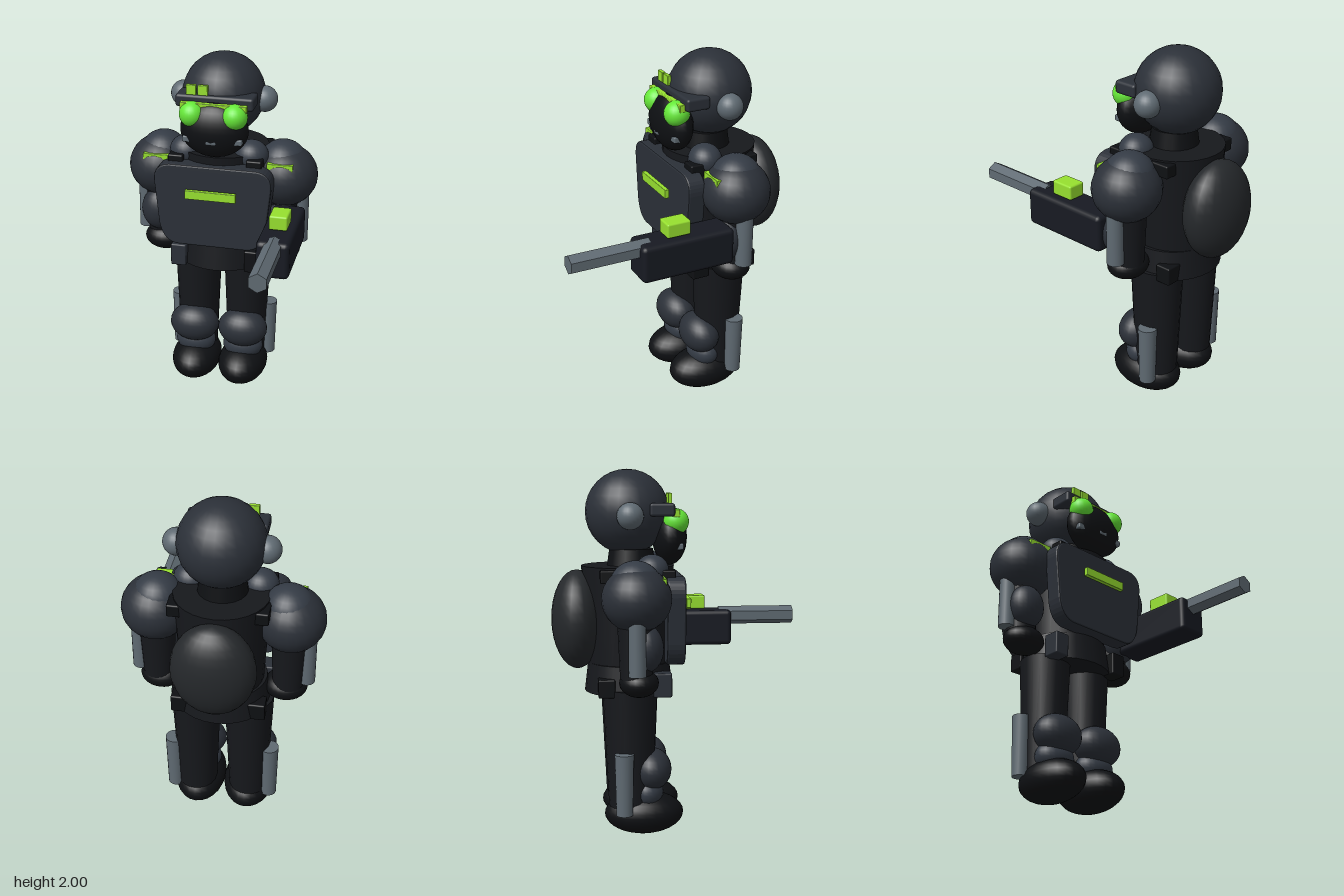
import * as THREE from 'three';
import { RoundedBoxGeometry } from 'three/addons/geometries/RoundedBoxGeometry.js';

const mat = (color) => new THREE.MeshStandardMaterial({ color });

export function createModel() {
  const model = new THREE.Group();
  const armor = mat(0x2b3038), slate = mat(0x343b45), suit = mat(0x16181c);
  const black = mat(0x0e1013), gunDark = mat(0x171a22), pack = mat(0x25282b);
  const steel = mat(0x5f6a72), lime = mat(0x97e02f), lens = mat(0x66e838);

  const add = (name, geometry, material, x, y, z) => {
    const mesh = new THREE.Mesh(geometry, material);
    mesh.name = name;
    mesh.position.set(x, y, z);
    model.add(mesh);
    return mesh;
  };
  const ball = (name, material, p, r) => {
    const mesh = add(name, new THREE.SphereGeometry(1, 24, 16), material, ...p);
    mesh.scale.set(...r);
    return mesh;
  };
  const box = (name, material, p, s, round = 0.008) =>
    add(name, new RoundedBoxGeometry(...s, 2, round), material, ...p);
  const tube = (name, material, p, rTop, rBottom, h, sides = 20) =>
    add(name, new THREE.CylinderGeometry(rTop, rBottom, h, sides), material, ...p);

  // Head: helmet, mask, brim and lights
  ball('helmet', armor, [0, 1.77, -0.29], [0.23, 0.23, 0.23]);
  ball('faceMask', black, [0, 1.635, -0.06], [0.19, 0.155, 0.095]);
  box('brim', armor, [0, 1.785, -0.115], [0.43, 0.07, 0.135], 0.015);
  box('browLight', lime, [0, 1.765, -0.038], [0.365, 0.04, 0.036], 0.004);
  for (const x of [-0.13, -0.065])
    box('helmetLight', lime, [x, 1.845, -0.07], [0.055, 0.055, 0.022], 0.003);
  box('mouthFilter', steel, [0, 1.59, 0.012], [0.06, 0.035, 0.035]);

  // Torso, belt and backpack
  tube('neck', black, [0, 1.5, -0.27], 0.12, 0.14, 0.14);
  tube('torso', suit, [0, 1.215, -0.29], 0.255, 0.225, 0.53, 28);
  tube('belt', suit, [0, 0.87, -0.288], 0.225, 0.245, 0.16, 28).scale.x = 1.08;
  ball('backpack', pack, [0, 1.185, -0.57], [0.225, 0.272, 0.142]);

  // Chest plate, tapering to the waist
  const plate = new THREE.Shape();
  plate.moveTo(-0.19, 0.965);
  plate.lineTo(0.19, 0.965);
  plate.quadraticCurveTo(0.275, 0.965, 0.295, 1.08);
  plate.lineTo(0.32, 1.33);
  plate.quadraticCurveTo(0.325, 1.42, 0.24, 1.425);
  plate.lineTo(-0.24, 1.425);
  plate.quadraticCurveTo(-0.325, 1.42, -0.32, 1.33);
  plate.lineTo(-0.295, 1.08);
  plate.quadraticCurveTo(-0.275, 0.965, -0.19, 0.965);
  const plateGeometry = new THREE.ExtrudeGeometry(plate, {
    depth: 0.08, bevelEnabled: true, bevelSize: 0.01, bevelThickness: 0.01, bevelSegments: 2, curveSegments: 8,
  });
  add('chestPlate', plateGeometry, armor, 0, 0, -0.09);
  box('chestLight', lime, [0, 1.28, 0.033], [0.285, 0.05, 0.025], 0.003);

  // Mirrored parts
  for (const s of [-1, 1]) {
    ball('earCup', steel, [s * 0.23, 1.753, -0.288], [0.072, 0.072, 0.072]);
    ball('goggle', lens, [s * 0.118, 1.72, -0.035], [0.07, 0.07, 0.07]);
    box('cheekFilter', steel, [s * 0.14, 1.588, -0.025], [0.05, 0.035, 0.055]);

    ball('collarPad', slate, [s * 0.185, 1.465, -0.17], [0.095, 0.085, 0.09]);
    box('shoulderStrap', black, [s * 0.22, 1.435, -0.25], [0.085, 0.07, 0.4]);

    // Arm
    ball('shoulderPad', armor, [s * 0.358, 1.33, -0.265], [0.185, 0.175, 0.185]);
    ball('shoulderCap', slate, [s * 0.345, 1.405, -0.27], [0.135, 0.125, 0.135]);
    box('shoulderLight', lime, [s * 0.352, 1.415, -0.13], [0.145, 0.05, 0.035], 0.003);
    tube('arm', suit, [s * 0.355, 1.08, -0.27], 0.1, 0.085, 0.34);
    ball('elbowPad', armor, [s * 0.362, 1.07, -0.215], [0.105, 0.125, 0.09]);
    tube('armRod', steel, [s * 0.453, 1.09, -0.27], 0.046, 0.046, 0.305);
    ball('hand', black, [s * 0.34, 0.885, -0.255], [0.12, 0.077, 0.105]);

    // Belt pouches
    box('frontPouch', s < 0 ? armor : black, [s * 0.215, 0.85, -0.12], [0.09, 0.13, 0.1]);
    box('rearPouch', black, [s * 0.2, 0.835, -0.42], [0.11, 0.1, 0.09]);

    // Leg
    tube('leg', suit, [s * 0.147, 0.49, -0.29], 0.137, 0.11, 0.66).scale.z = 1.1;
    ball('kneePad', armor, [s * 0.147, 0.365, -0.175], [0.147, 0.115, 0.11]);
    ball('shinGuard', slate, [s * 0.145, 0.24, -0.2], [0.12, 0.09, 0.09]);
    tube('legRod', steel, [s * 0.27, 0.31, -0.332], 0.052, 0.045, 0.34);
    ball('boot', black, [s * 0.143, 0.117, -0.217], [0.145, 0.117, 0.218]);
  }

  // Weapon on the left arm
  box('weaponBody', gunDark, [0.405, 1.078, 0.075], [0.18, 0.205, 0.53], 0.025);
  const barrelGeometry = new THREE.CylinderGeometry(0.053, 0.053, 0.445, 6).toNonIndexed();
  barrelGeometry.computeVertexNormals();
  add('barrel', barrelGeometry, steel, 0.405, 1.143, 0.4925).rotation.x = Math.PI / 2;
  box('scope', lime, [0.405, 1.227, 0.118], [0.1, 0.08, 0.135], 0.01);

  return model;
}
